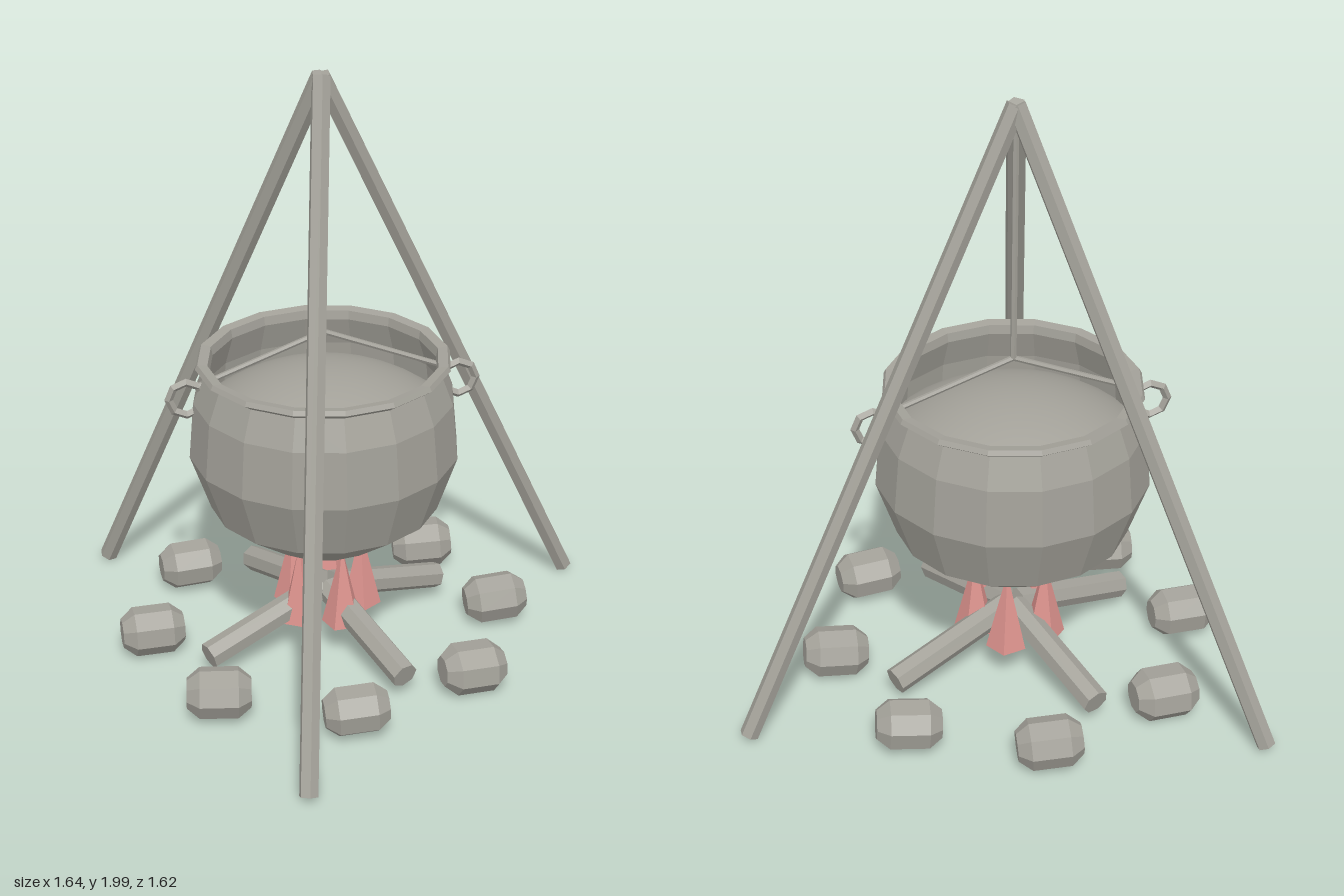
import * as THREE from 'three';

const CX = -0.11, CZ = -0.14; // axis of the pot and fire
const V = (x, y, z) => new THREE.Vector3(x, y, z);

// Faceted normals baked into the geometry
function flat(geometry) {
  const g = geometry.index ? geometry.toNonIndexed() : geometry;
  g.computeVertexNormals();
  return g;
}

export function createModel() {
  const stone = new THREE.MeshStandardMaterial({ color: 0xa3a199 });
  stone.name = 'warm grey';
  const flameMat = new THREE.MeshStandardMaterial({ color: 0xdb928d });
  flameMat.name = 'flame pink';
  const model = new THREE.Group();
  model.name = 'campfireCauldron';

  function add(name, geometry, material = stone, parent = model) {
    const mesh = new THREE.Mesh(geometry, material);
    mesh.name = name;
    parent.add(mesh);
    return mesh;
  }

  // Straight bar between two points
  function bar(name, a, b, radius, sides) {
    const dir = b.clone().sub(a);
    const mesh = add(name, flat(new THREE.CylinderGeometry(radius, radius, dir.length(), sides)));
    mesh.position.copy(a).add(b).multiplyScalar(0.5);
    mesh.quaternion.setFromUnitVectors(V(0, 1, 0), dir.normalize());
    return mesh;
  }

  // Tripod
  const feet = [[-0.795, -0.79], [0.795, -0.425], [-0.315, 0.775]];
  for (const [x, z] of feet) bar('tripodLeg', V(x, 0.025, z), V(CX, 1.985, CZ), 0.031, 6);

  // Hanging rod and the two sloping bail arms
  bar('hangingRod', V(CX, 1.14, CZ), V(CX, 1.98, CZ), 0.01, 6);
  for (const s of [-1, 1]) bar('bailArm', V(CX, 1.14, CZ), V(CX + s * 0.41, 0.98, CZ), 0.009, 6);

  // Pot: outer wall, flared rim, then inner wall
  const profile = [
    [0, 0.42], [0.21, 0.42], [0.375, 0.54], [0.44, 0.73], [0.423, 0.92], [0.385, 1.02],
    [0.413, 1.04], [0.405, 1.055], [0.373, 1.05], [0.368, 1.02], [0.4, 0.92], [0.41, 0.82],
  ].map(([r, y]) => new THREE.Vector2(r, y));
  add('pot', flat(new THREE.LatheGeometry(profile, 16))).position.set(CX, 0, CZ);

  // Domed contents, smooth
  const R = 0.65, apex = 1.0;
  add('potContents', new THREE.SphereGeometry(R, 32, 10, 0, Math.PI * 2, 0, Math.asin(0.4 / R)))
    .position.set(CX, apex - R, CZ);

  // Ring handles
  for (const s of [-1, 1]) {
    add('ringHandle', flat(new THREE.TorusGeometry(0.057, 0.014, 4, 8)))
      .position.set(CX + s * 0.443, 0.94, CZ);
  }

  // Four logs leaning into the middle
  for (let i = 0; i < 4; i++) {
    const a = 1.147 + i * Math.PI / 2;
    const at = (r, y) => V(CX + Math.cos(a) * r, y, CZ + Math.sin(a) * r);
    bar('log', at(0.46, 0.09), at(0.02, 0.205), 0.045, 7);
  }

  // Ring of five flames
  for (let i = 0; i < 5; i++) {
    const a = i * Math.PI * 0.4;
    const flame = add('flame', flat(new THREE.ConeGeometry(0.068, 0.28, 5)), flameMat);
    flame.position.set(CX + Math.cos(a) * 0.12, 0.27, CZ + Math.sin(a) * 0.12);
    flame.rotation.y = i * 0.7;
  }

  // Ring of eight chamfered stones
  const stoneProfile = [[0, -0.1], [0.05, -0.1], [0.085, -0.06], [0.085, 0.06], [0.05, 0.1], [0, 0.1]]
    .map(([r, y]) => new THREE.Vector2(r, y));
  const stoneGeo = flat(new THREE.LatheGeometry(stoneProfile, 8).rotateZ(Math.PI / 2));
  for (let i = 0; i < 8; i++) {
    const a = i * Math.PI / 4;
    const rock = add('hearthStone', stoneGeo);
    rock.position.set(CX + Math.cos(a) * 0.585, 0.095, CZ + Math.sin(a) * 0.585);
    rock.rotation.set(0.3 * Math.sin(i * 2.1), 0.12 * Math.sin(i * 1.7), 0.08 * Math.cos(i * 2.7));
    rock.scale.set(1.03, 0.95, i % 2 ? 1.05 : 0.98);
  }
  return model;
}
